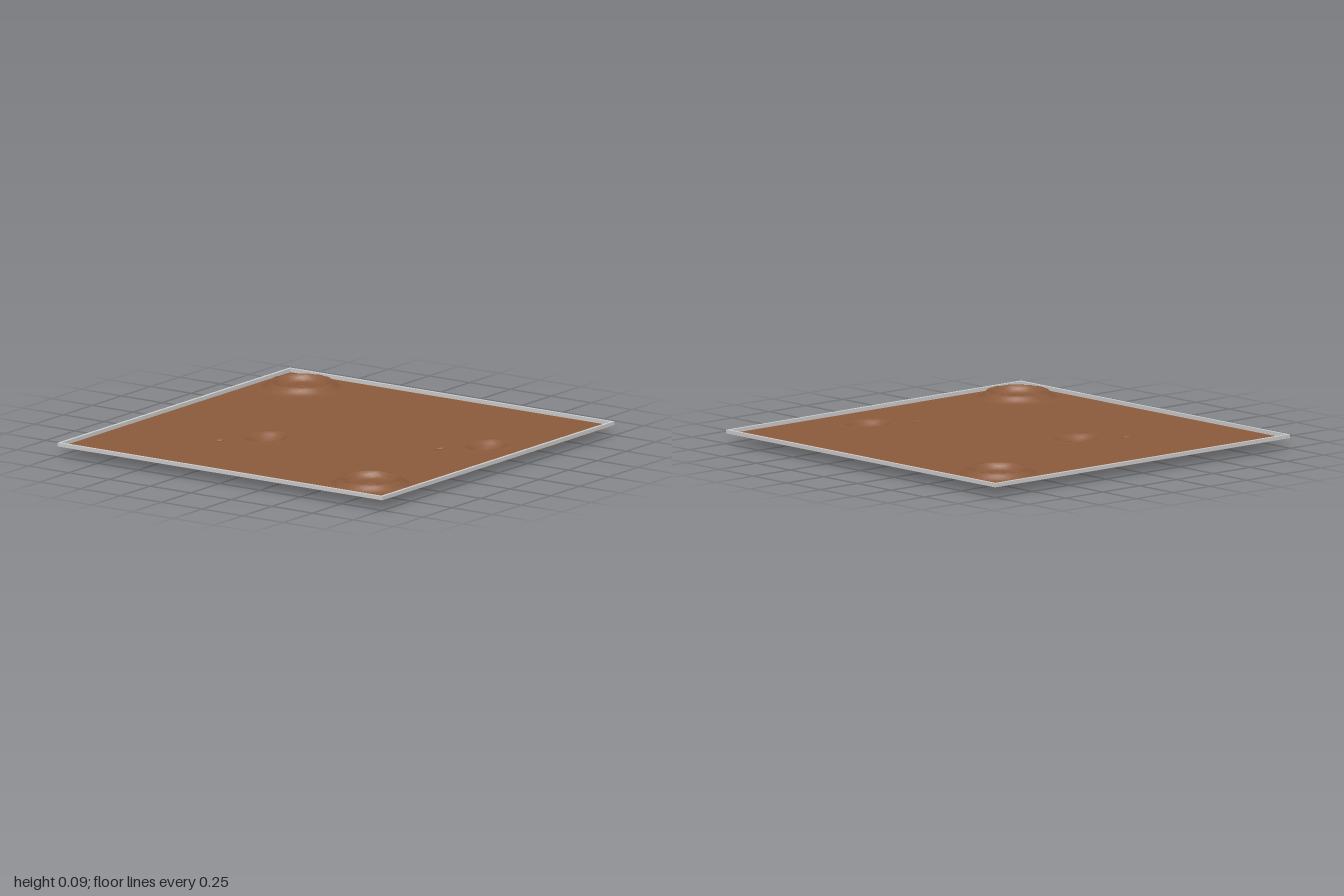
import * as THREE from 'three';

const BASE = 0.051;
const CELLS = 128;
const craters = [[-0.75, -0.75], [0.75, 0.75]];
const pits = [[-0.27, 0.22], [0.73, -0.28]];
// grid nodes pulled down into small spikes, counted in cells from the centre
const spikes = [[-27, 27], [37, -5]];

const bell = (d, w) => Math.exp(-((d / w) ** 2));

// Ring wall, steeper inside than outside, around a small central peak
function craterHeight(r) {
  if (r > 0.3) return 0;
  const wall = 0.037 * bell(r - 0.15, r < 0.15 ? 0.02 : 0.026);
  return wall + 0.014 * bell(r, 0.026) + 0.003 * bell(r, 0.11);
}

// Oval bowl with a low lip and faint ripples in the square patch around it
function pitHeight(dx, dz) {
  if (Math.abs(dx) > 0.17 || Math.abs(dz) > 0.18) return 0;
  const e = Math.hypot(dx / 0.092, dz / 0.118);
  const bowl = e < 1 ? -0.051 * (1 - e * e) : 0;
  const ripple = 0.0007 * Math.sin(dx * 113 + dz * 47) * Math.sin(dz * 131 - dx * 39);
  return bowl + 0.003 * bell(e - 1.1, 0.14) + (e > 1 ? ripple : 0);
}

function groundHeight(x, z) {
  let y = BASE;
  for (const [cx, cz] of craters) y += craterHeight(Math.hypot(x - cx, z - cz));
  for (const [px, pz] of pits) y += pitHeight(x - px, z - pz);
  return Math.max(0, y);
}

export function createModel() {
  const model = new THREE.Group();
  model.name = 'terrainTile';

  // Ground sheet
  const geometry = new THREE.PlaneGeometry(2, 2, CELLS, CELLS).rotateX(-Math.PI / 2);
  const pos = geometry.attributes.position;
  for (let i = 0; i < pos.count; i++) {
    pos.setY(i, groundHeight(pos.getX(i), pos.getZ(i)));
  }
  // Small square holes beside the pits, tip leaning into one corner
  for (const [sx, sz] of spikes) {
    const index = (sz + CELLS / 2) * (CELLS + 1) + sx + CELLS / 2;
    const step = 2 / CELLS;
    pos.setXYZ(index, (sx + 0.7) * step, 0.014, (sz - 0.7) * step);
  }
  geometry.computeVertexNormals();
  const ground = new THREE.Mesh(geometry, new THREE.MeshStandardMaterial({
    color: 0x8b5a3c, side: THREE.DoubleSide,
  }));
  ground.name = 'ground';
  model.add(ground);

  // Raised border, four thin bars
  const border = new THREE.Group();
  border.name = 'border';
  const grey = new THREE.MeshStandardMaterial({ color: 0xcccccc });
  const width = 0.016;
  const height = 0.019;
  for (const side of [-1, 1]) {
    const long = new THREE.Mesh(new THREE.BoxGeometry(2, height, width), grey);
    long.position.set(0, 0.0615, side * (1 - width / 2));
    long.name = side > 0 ? 'frontBorder' : 'backBorder';
    const short = new THREE.Mesh(new THREE.BoxGeometry(width, height, 2 - 2 * width), grey);
    short.position.set(side * (1 - width / 2), 0.0615, 0);
    short.name = side > 0 ? 'leftBorder' : 'rightBorder';
    border.add(long, short);
  }
  model.add(border);
  return model;
}
